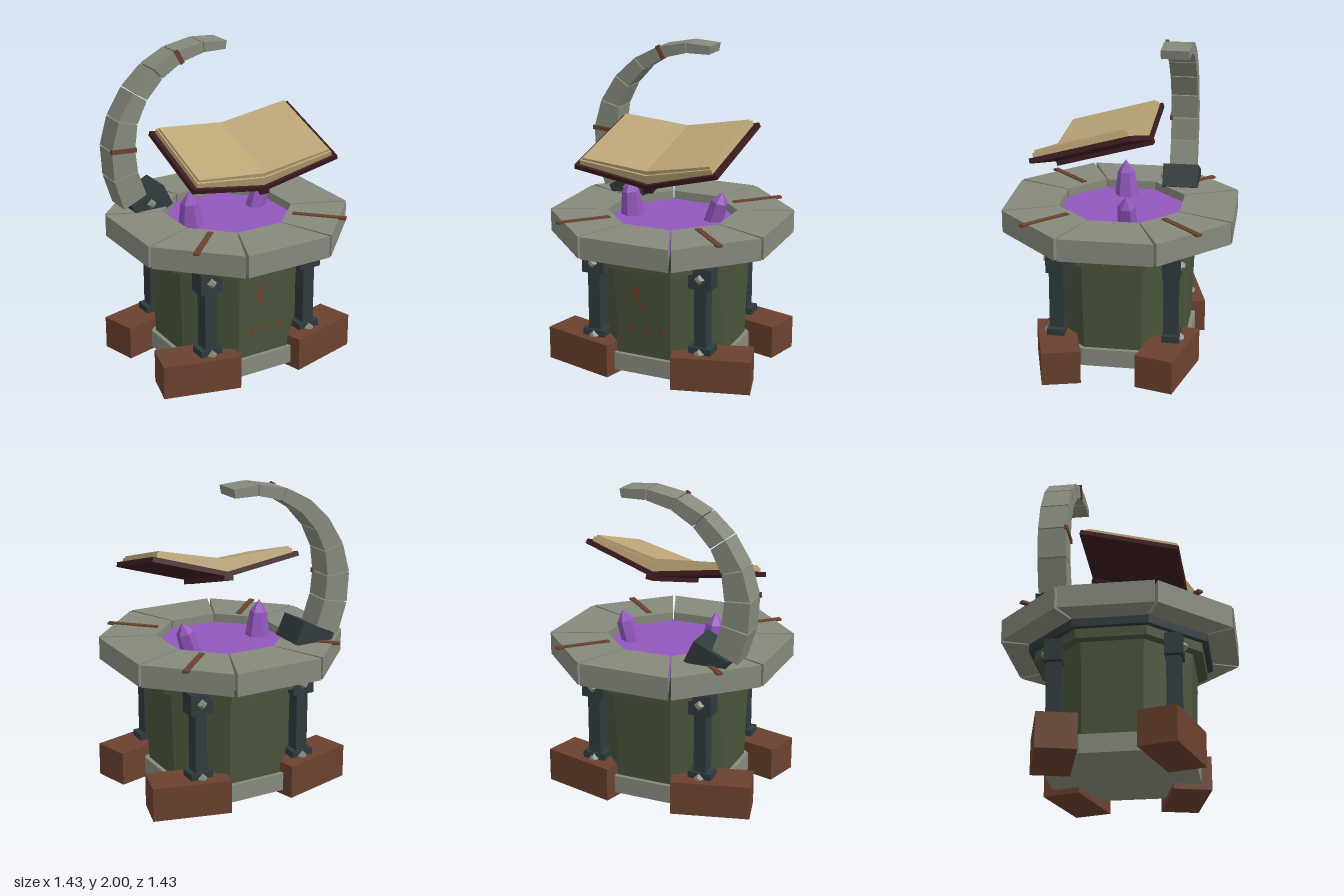
import * as THREE from 'three';

const mat = (name, color) => {
  const m = new THREE.MeshStandardMaterial({ color });
  m.name = name;
  return m;
};

export function createModel() {
  const model = new THREE.Group();
  model.name = 'spellAltar';
  const stone = mat('stone', 0x868a7c);
  const green = mat('green', 0x49543b);
  const wood = mat('rustyBrown', 0x6b412e);
  const iron = mat('darkIron', 0x2f3a3c);
  const leather = mat('leather', 0x3d1c1f);
  const paper = mat('paper', 0xbda677);
  const purple = mat('purple', 0x9257bd);

  // Helpers: every mesh gets hard-edged faces
  const add = (name, geo, material, parent = model) => {
    const g = geo.index ? geo.toNonIndexed() : geo;
    g.computeVertexNormals();
    const mesh = new THREE.Mesh(g, material);
    mesh.name = name;
    parent.add(mesh);
    return mesh;
  };
  const box = (name, w, h, d, x, y, z, material, parent) => {
    const mesh = add(name, new THREE.BoxGeometry(w, h, d), material, parent);
    mesh.position.set(x, y, z);
    return mesh;
  };
  const octagon = (name, topR, bottomR, y0, y1, material) => {
    const k = 1 / Math.cos(Math.PI / 8);
    const geo = new THREE.CylinderGeometry(topR * k, bottomR * k, y1 - y0, 8, 1, false, Math.PI / 8);
    return add(name, geo.translate(0, (y0 + y1) / 2, 0), material);
  };
  const prism = (points, depth) => new THREE.ExtrudeGeometry(
    new THREE.Shape(points.map(([x, y]) => new THREE.Vector2(x, y))),
    { depth, bevelEnabled: false });
  const rivet = (x, y, z, dir) => {
    const geo = new THREE.CylinderGeometry(0.016, 0.034, 0.025, 4).rotateX(dir * Math.PI / 2);
    add('rivet', geo, stone).position.set(x, y, z);
  };

  // Drum
  octagon('baseBand', 0.46, 0.46, 0.035, 0.15, stone);
  octagon('drum', 0.455, 0.43, 0.05, 0.74, green);
  octagon('drumRim', 0.515, 0.515, 0.73, 0.79, green);
  octagon('ironPlate', 0.55, 0.55, 0.79, 0.845, iron);
  octagon('pool', 0.4, 0.4, 0.84, 0.925, purple);

  // Feet and corner posts
  for (const sx of [1, -1]) for (const sz of [1, -1]) {
    box('foot', 0.49, 0.215, 0.24, sx * 0.422, 0.1075, sz * 0.345, wood)
      .rotation.y = sx * sz * 0.257;
    box('post', 0.08, 0.6, 0.09, sx * 0.36, 0.49, sz * 0.357, iron);
    box('postCap', 0.148, 0.135, 0.11, sx * 0.36, 0.705, sz * 0.36, iron);
    box('postShoe', 0.148, 0.135, 0.11, sx * 0.36, 0.19, sz * 0.36, iron);
    rivet(sx * 0.36, 0.705, sz * 0.427, sz);
    rivet(sx * 0.36, 0.22, sz * 0.427, sz);
  }

  // Table ring: eight wedge stones with open joints, straps on the diagonals
  const t = Math.tan(Math.PI / 8);
  for (let i = 0; i < 8; i++) {
    const a = 0.38 * t - 0.004, b = 0.715 * t - 0.01;
    const geo = prism([[-a, 0.38], [a, 0.38], [b, 0.715], [-b, 0.715]], 0.14);
    geo.rotateX(Math.PI / 2).translate(0, 0.98, 0);
    add('ringStone', geo, stone).rotation.y = i * Math.PI / 4;
    if (i % 2) {
      const strap = new THREE.BoxGeometry(0.036, 0.014, 0.34).translate(0, 0.98, 0.59);
      add('ringStrap', strap, wood).rotation.y = i * Math.PI / 4;
    }
  }

  // Painted moon and small flames on the front face
  const emblem = new THREE.Group();
  emblem.name = 'paintedSigns';
  emblem.position.set(0, 0.56, 0.453);
  emblem.rotation.x = 0.036;
  model.add(emblem);
  const crescent = (name, x, y, h, outer, inner) => {
    const s = new THREE.Shape();
    s.moveTo(0, h / 2);
    s.quadraticCurveTo(outer, 0, h * 0.09, -h / 2);
    s.quadraticCurveTo(inner, 0, 0, h / 2);
    add(name, new THREE.ShapeGeometry(s, 8), wood, emblem).position.set(x, y, 0);
  };
  crescent('moon', 0.01, 0, 0.175, -0.178, -0.085);
  for (const x of [-0.105, 0, 0.1]) crescent('flame', x, -0.235, 0.085, 0.06, 0.005);

  // Curved stone arm: [outer x, outer y, inner x, inner y] at each joint
  const joints = [
    [-0.598, 1.0, -0.44, 1.07], [-0.661, 1.2, -0.497, 1.236], [-0.672, 1.395, -0.513, 1.385],
    [-0.619, 1.581, -0.492, 1.544], [-0.513, 1.75, -0.423, 1.687], [-0.376, 1.878, -0.312, 1.809],
    [-0.212, 1.963, -0.175, 1.894], [-0.021, 2.0, -0.016, 1.936], [0.153, 1.989, 0.143, 1.936],
  ];
  for (let i = 0; i < 8; i++) {
    const mix = (f) => joints[i].map((v, k) => v + (joints[i + 1][k] - v) * f);
    const p = mix(0.02), q = mix(0.98);
    const geo = prism([[p[0], p[1]], [p[2], p[3]], [q[2], q[3]], [q[0], q[1]]], 0.172);
    add('armStone', geo.translate(0, 0, -0.422), stone);
  }
  for (const i of [2, 6]) {
    const [ox, oy, ix, iy] = joints[i];
    const len = Math.hypot(ix - ox, iy - oy) + 0.015;
    box('armStrap', len, 0.028, 0.02, (ox + ix) / 2, (oy + iy) / 2, -0.25, wood)
      .rotation.z = Math.atan2(iy - oy, ix - ox);
  }
  box('armBracket', 0.245, 0.15, 0.23, -0.413, 1.005, -0.335, iron).rotation.z = 0.445;
  rivet(-0.423, 1.018, -0.208, 1);

  // Crystals standing in the pool
  const crystal = (base, tip, r, shoulder) => {
    const from = new THREE.Vector3(...base), dir = new THREE.Vector3(...tip).sub(from);
    const h = dir.length();
    const profile = [[r, 0], [shoulder, h * 0.68], [0, h]].map(([x, y]) => new THREE.Vector2(x, y));
    const mesh = add('crystal', new THREE.LatheGeometry(profile, 6), purple);
    mesh.position.copy(from);
    mesh.quaternion.setFromUnitVectors(new THREE.Vector3(0, 1, 0), dir.normalize());
  };
  crystal([-0.27, 0.91, 0.01], [-0.29, 1.155, 0.02], 0.08, 0.056);
  crystal([0.25, 0.91, -0.068], [0.315, 1.115, -0.068], 0.062, 0.055);

  // Floating open book
  const book = new THREE.Group();
  book.name = 'openBook';
  const ex = new THREE.Vector3(0.994, 0.067, 0.084).normalize();
  const ey = new THREE.Vector3(-0.058, -0.283, 0.958).cross(ex).normalize();
  const ez = ex.clone().cross(ey);
  book.quaternion.setFromRotationMatrix(new THREE.Matrix4().makeBasis(ex, ey, ez));
  book.position.set(0.038, 1.315, 0.105);
  model.add(book);
  box('spine', 0.06, 0.035, 0.637, 0, -0.006, 0, leather, book);
  for (const s of [1, -1]) {
    const half = (name, pts, depth, material) =>
      add(name, prism(pts.map(([x, y]) => [s * x, y]), depth).translate(0, 0, -depth / 2), material, book);
    half('cover', [[0, 0], [0.49, 0.11], [0.483, 0.14], [0, 0.03]], 0.637, leather);
    half('lowerPages', [[0, 0.028], [0.455, 0.132], [0.449, 0.162], [0, 0.085]], 0.6, paper);
    half('upperPages', [[0, 0.08], [0.44, 0.158], [0.436, 0.174], [0, 0.11]], 0.575, paper);
  }
  return model;
}
